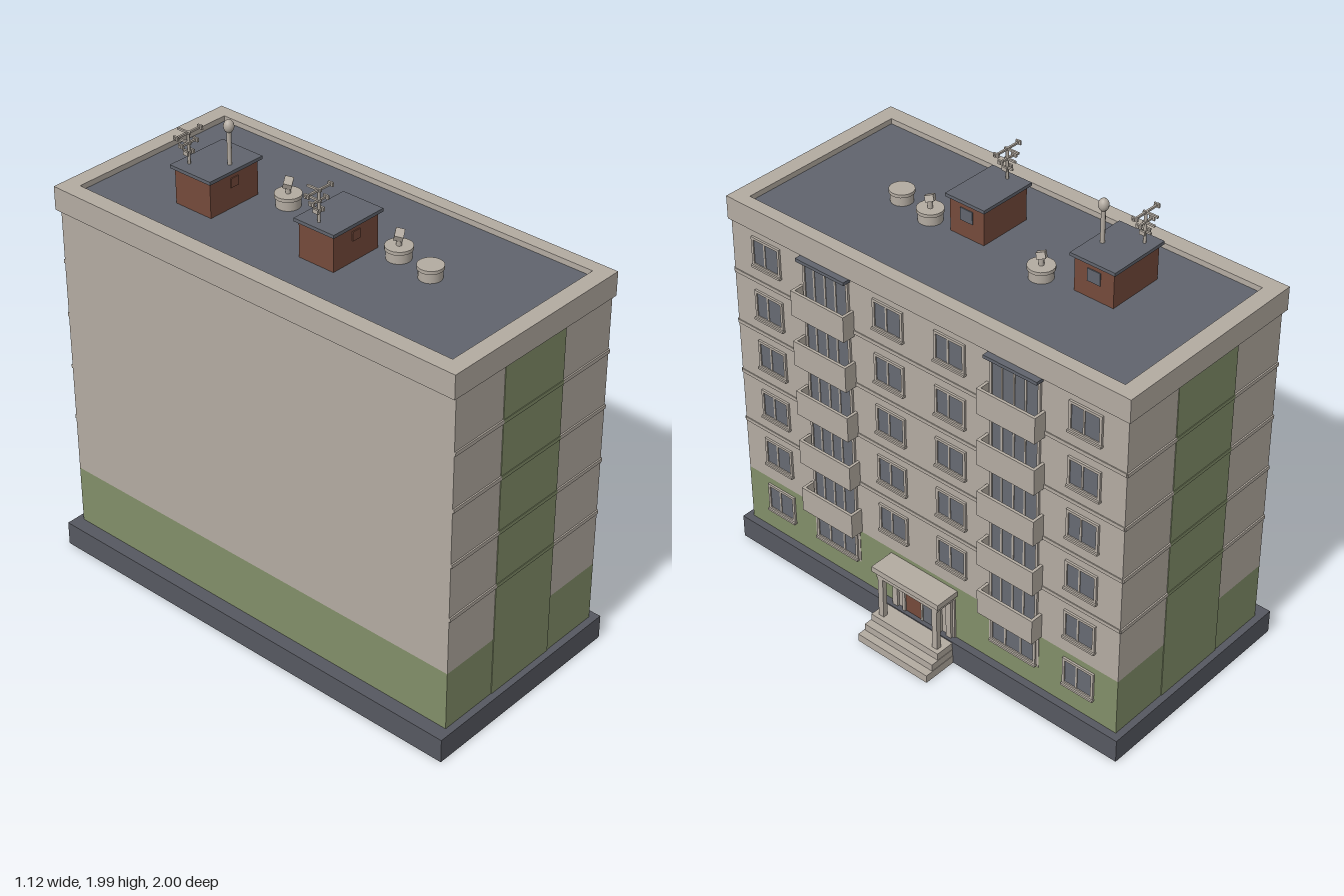
import * as THREE from 'three';

const mat = (name, color) => {
  const m = new THREE.MeshStandardMaterial({ color });
  m.name = name;
  return m;
};

export function createModel() {
  const concrete = mat('concrete', 0xb3aba1);
  const green = mat('green paint', 0x828e69);
  const slate = mat('slate', 0x60646d);
  const plinthGrey = mat('plinth grey', 0x565860);
  const glass = mat('glass', 0x666a72);
  const brick = mat('brick', 0x754a3b);

  const building = new THREE.Group();
  building.name = 'apartmentBlock';

  const group = (name, parent = building) => {
    const g = new THREE.Group();
    g.name = name;
    parent.add(g);
    return g;
  };
  const add = (name, geo, m, parent, x, y, z) => {
    const mesh = new THREE.Mesh(geo, m);
    mesh.name = name;
    mesh.position.set(x, y, z);
    parent.add(mesh);
    return mesh;
  };
  // Box given by its limits on each axis
  const box = (name, m, parent, x0, x1, y0, y1, z0, z1) =>
    add(name, new THREE.BoxGeometry(x1 - x0, y1 - y0, z1 - z0), m, parent,
      (x0 + x1) / 2, (y0 + y1) / 2, (z0 + z1) / 2);
  const rod = (name, m, parent, r, h, x, y, z, sides = 8) =>
    add(name, new THREE.CylinderGeometry(r, r, h, sides), m, parent, x, y + h / 2, z);

  const L = -0.505, F = 0.372, Z = 0.97; // wall planes: rear, facade, ends

  // Main volume
  box('plinth', plinthGrey, building, -0.565, 0.405, 0, 0.105, -1, 1);
  box('groundFloorWalls', green, building, L, F, 0.105, 0.365, -Z, Z);
  box('upperWalls', concrete, building, L, F, 0.365, 1.58, -Z, Z);

  // Parapet ring around a sunken roof
  const ring = new THREE.Shape();
  ring.moveTo(-0.525, -0.98).lineTo(0.382, -0.98).lineTo(0.382, 0.98).lineTo(-0.525, 0.98).closePath();
  const hole = new THREE.Path();
  hole.moveTo(-0.455, -0.91).lineTo(-0.455, 0.91).lineTo(0.325, 0.91).lineTo(0.325, -0.91).closePath();
  ring.holes.push(hole);
  const parapet = new THREE.ExtrudeGeometry(ring, { depth: 0.1, bevelEnabled: false }).rotateX(-Math.PI / 2);
  add('parapet', parapet, concrete, building, 0, 1.568, 0);
  box('roofDeck', slate, building, -0.46, 0.33, 1.575, 1.645, -0.915, 0.915);

  // Painted end stripes and floor seams
  const seams = [0.375, 0.615, 0.855, 1.095, 1.335];
  for (const s of [-1, 1]) {
    const end = group(s > 0 ? 'frontEnd' : 'backEnd');
    box('stripe', green, end, -0.24, 0.1, 0.105, 1.568, s * Z - 0.003, s * Z + 0.003);
    for (const y of seams.slice(1)) {
      for (const [x0, x1, m] of [[L, -0.24, concrete], [-0.24, 0.1, green], [0.1, F, concrete]])
        box('floorSeam', m, end, x0, x1, y - 0.008, y + 0.008, s * Z - 0.006, s * Z + 0.006);
    }
  }
  for (const y of seams.slice(1))
    box('facadeSeam', concrete, building, F - 0.005, F + 0.004, y - 0.008, y + 0.008, -Z, Z);

  // Window on the facade: pane, frame, mullions and sill
  const makeWindow = (name, z, y, w, h, mullions, sill = true) => {
    const g = group(name), b = 0.011;
    g.position.set(F, y, z);
    box('pane', glass, g, -0.004, 0.004, -h / 2, h / 2, -w / 2, w / 2);
    for (const s of [-1, 1]) {
      box('frameRail', concrete, g, -0.004, 0.009, s * h / 2 - b / 2, s * h / 2 + b / 2, -w / 2 - b / 2, w / 2 + b / 2);
      box('frameStile', concrete, g, -0.004, 0.009, -h / 2, h / 2, s * w / 2 - b / 2, s * w / 2 + b / 2);
    }
    for (const t of mullions)
      box('mullion', concrete, g, 0, 0.007, -h / 2, h / 2, t * w - 0.004, t * w + 0.004);
    if (sill) box('sill', concrete, g, 0, 0.016, -h / 2 - 0.012, -h / 2 - 0.003, -w / 2 - 0.008, w / 2 + 0.008);
  };

  const rows = [0.273, 0.51, 0.75, 0.99, 1.228, 1.472];
  rows.forEach((y, i) => {
    const columns = i === 0 ? [0.785, -0.785] : [0.785, 0.152, -0.152, -0.785];
    for (const z of columns) makeWindow('window', z, y, 0.138, 0.117, [0.05]);
  });

  // Balconies with glazed doors
  const makeBalcony = (z, y) => {
    const g = group('balcony'), w = 0.137, t = 0.012, x1 = 0.43;
    g.position.set(0, y, z);
    box('floor', concrete, g, F, x1 - t, 0, 0.015, -w + t, w - t);
    box('frontPanel', concrete, g, x1 - t, x1, 0, 0.113, -w, w);
    for (const s of [-1, 1])
      box('sidePanel', concrete, g, F, x1 - t, 0, 0.113, s * (w - t / 2) - t / 2, s * (w - t / 2) + t / 2);
  };
  for (const z of [0.468, -0.464]) {
    makeWindow('groundWindow', z, 0.287, 0.215, 0.135, [-0.18, 0.18]);
    box('windowSurround', concrete, building, F - 0.003, F + 0.002, 0.205, 0.365, z - 0.125, z + 0.125);
    for (const y of [0.368, 0.607, 0.847, 1.083, 1.314]) {
      makeBalcony(z, y);
      makeWindow('balconyGlazing', z, y + 0.126, 0.225, 0.21, [-0.22, 0.02, 0.27], false);
    }
    box('topBalconyCanopy', slate, building, F, 0.408, 1.552, 1.566, z - 0.125, z + 0.125);
  }

  // Entrance porch
  const porch = group('entrance');
  box('wallPanel', concrete, porch, F - 0.003, F + 0.008, 0.1, 0.3, -0.165, 0.165);
  box('door', brick, porch, F, F + 0.014, 0.1, 0.262, 0.002, 0.088);
  box('sideLight', glass, porch, F, F + 0.014, 0.1, 0.262, -0.088, 0.002);
  box('doorPost', concrete, porch, F, F + 0.018, 0.1, 0.265, -0.005, 0.005);
  for (const s of [-1, 1]) {
    box('doorJamb', concrete, porch, F, F + 0.022, 0.1, 0.275, s * 0.094 - 0.007, s * 0.094 + 0.007);
    box('column', concrete, porch, 0.45, 0.472, 0.1, 0.3, s * 0.143 - 0.013, s * 0.143 + 0.013);
    box('pilaster', concrete, porch, F, F + 0.02, 0.1, 0.3, s * 0.143 - 0.013, s * 0.143 + 0.013);
  }
  box('lintel', concrete, porch, F, F + 0.02, 0.265, 0.285, -0.1, 0.1);
  box('canopy', concrete, porch, F, 0.474, 0.295, 0.325, -0.16, 0.16);
  box('canopyTop', concrete, porch, F, 0.485, 0.322, 0.347, -0.175, 0.175);
  [[0.49, 0.1], [0.525, 0.068], [0.56, 0.036]].forEach(([x, y], i) =>
    box('step' + (i + 1), concrete, porch, 0.38, x, 0, y, -0.175 - i * 0.002, 0.18 + i * 0.004));

  // Rooftop stair huts
  const makeHut = (x0, x1, z0, z1) => {
    const g = group('roofHut'), o = 0.013;
    const cx = (x0 + x1) / 2, cz = (z0 + z1) / 2;
    box('brickWalls', brick, g, x0 + o, x1 - o, 1.64, 1.795, z0 + o, z1 - o);
    box('lid', slate, g, x0, x1, 1.793, 1.807, z0, z1);
    box('sideHatch', slate, g, x1 - o, x1 - o + 0.004, 1.715, 1.768, cz - 0.03, cz + 0.03);
    box('frontHatch', brick, g, cx - 0.02, cx + 0.02, 1.732, 1.77, z1 - o, z1 - o + 0.005);
  };
  makeHut(-0.292, -0.012, -0.587, -0.38);
  makeHut(-0.282, -0.015, 0.028, 0.22);

  // Aerials
  const makeAerial = (x, z) => {
    const g = group('aerial');
    g.position.set(x, 1.8, z);
    rod('mast', concrete, g, 0.006, 0.14, 0, 0, 0);
    for (const [y, half, reach] of [[0.135, 0.074, 0.055], [0.093, 0.045, 0.042], [0.055, 0.018, 0.028]]) {
      box('crossBar', concrete, g, -half, half, y - 0.004, y + 0.004, -0.004, 0.004);
      box('boom', concrete, g, -0.004, 0.004, y - 0.004, y + 0.004, -reach, 0.012);
      for (const s of [-1, 1])
        box('barTip', concrete, g, s * half * 0.85 - 0.004, s * half * 0.85 + 0.004, y - 0.008, y + 0.008, -0.012, 0.012);
    }
  };
  makeAerial(-0.237, -0.54);
  makeAerial(-0.243, 0.115);

  // Ball-topped pole
  rod('beaconPole', concrete, building, 0.009, 0.15, -0.14, 1.8, -0.425);
  add('beaconBall', new THREE.SphereGeometry(0.021, 14, 10), concrete, building, -0.14, 1.964, -0.425).scale.y = 1.25;

  // Roof vents
  const makeVent = (x, z, r, capped) => {
    const g = group('vent');
    g.position.set(x, 1.64, z);
    rod('drum', concrete, g, r * 0.9, 0.05, 0, 0, 0, 20);
    rod('rim', concrete, g, r, 0.014, 0, 0.044, 0, 20);
    if (!capped) return;
    rod('stem', concrete, g, 0.011, 0.035, 0, 0.055, 0);
    const cap = add('cap', new THREE.BoxGeometry(0.042, 0.026, 0.034), concrete, g, 0, 0.1, 0);
    cap.rotation.set(0.25, 0.6, 0.25);
  };
  makeVent(-0.012, -0.25, 0.054, true);
  makeVent(-0.033, 0.312, 0.054, true);
  makeVent(-0.063, 0.485, 0.051, false);

  return building;
}
